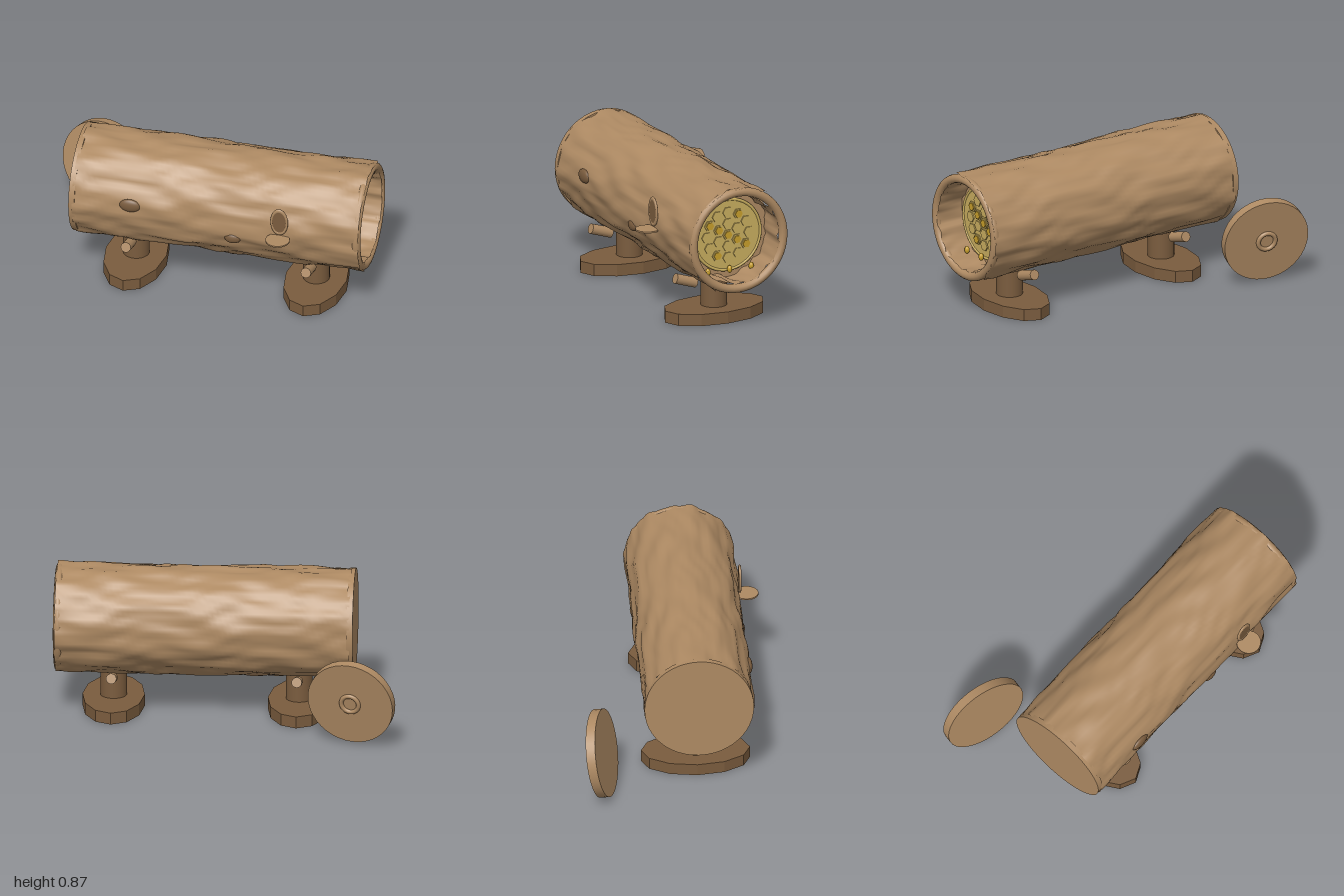
import * as THREE from 'three';
import { mergeVertices } from 'three/addons/utils/BufferGeometryUtils.js';

const mat = (name, color) => {
  const m = new THREE.MeshStandardMaterial({ color });
  m.name = name;
  return m;
};

export function createModel() {
  const wood = mat('wood', 0xae8a63);
  const darkWood = mat('dark wood', 0x7a5c3e);
  const wax = mat('wax', 0xc9ae5f);
  const honey = mat('honey', 0xc9a02c);

  const model = new THREE.Group();
  model.name = 'logHive';

  const add = (parent, name, geometry, material, x = 0, y = 0, z = 0) => {
    const mesh = new THREE.Mesh(geometry, material);
    mesh.name = name;
    mesh.position.set(x, y, z);
    parent.add(mesh);
    return mesh;
  };
  const flat = (geometry) => {
    const g = geometry.toNonIndexed();
    g.computeVertexNormals();
    return g;
  };
  // cylinder lying along x
  const discX = (r, h, sides) => new THREE.CylinderGeometry(r, r, h, sides).rotateZ(-Math.PI / 2);
  const ringX = (r, tube) => new THREE.TorusGeometry(r, tube, 12, 48).rotateY(Math.PI / 2);

  // gnarled tube along x: ridges run lengthwise and twist a little
  const barkTube = (radius, x0, x1, amount, inward) => {
    let g = new THREE.CylinderGeometry(1, 1, x1 - x0, 80, 56, true).rotateZ(-Math.PI / 2);
    g.translate((x0 + x1) / 2, 0, 0);
    g.deleteAttribute('uv');
    g.deleteAttribute('normal');
    g = mergeVertices(g, 1e-5);
    const p = g.attributes.position;
    for (let i = 0; i < p.count; i++) {
      const x = p.getX(i), a = Math.atan2(p.getZ(i), p.getY(i));
      const n = 0.4 * Math.sin(7 * a + 6 * x + Math.sin(9 * x))
        + 0.35 * Math.sin(13 * a - 9 * x + 1.3 * Math.sin(3 * a + 7 * x))
        + 0.25 * Math.sin(23 * a + 14 * x + 2 * Math.sin(2 * a - 11 * x));
      const r = radius + amount * n;
      p.setXYZ(i, x, r * Math.cos(a), r * Math.sin(a));
    }
    if (inward) {
      // mirroring turns the faces to look at the axis
      g.scale(1, 1, -1);
    }
    g.computeVertexNormals();
    return g;
  };

  // hollow log
  const log = new THREE.Group();
  log.name = 'log';
  log.position.set(0, 0.54, 0.127);
  model.add(log);
  add(log, 'bark', barkTube(0.315, -0.715, 0.985, 0.013, false), wood);
  add(log, 'innerWall', barkTube(0.258, 0.78, 0.985, 0.016, true), wood);
  add(log, 'openRim', ringX(0.29, 0.026), wood, 0.969);
  add(log, 'closedEnd', discX(0.316, 0.035, 48), wood, -0.7175);
  add(log, 'innerPlate', discX(0.285, 0.02, 48), wood, 0.8);

  // honeycomb: centre cell, ring of six, ring of twelve
  const comb = new THREE.Group();
  comb.name = 'honeycomb';
  comb.position.set(0.82, -0.004, 0);
  log.add(comb);
  add(comb, 'combDisc', discX(0.215, 0.03, 48), wax);
  add(comb, 'combRim', ringX(0.212, 0.009), wax, 0.012);
  const cellGeo = flat(discX(0.033, 0.012, 6));
  const honeyGeo = flat(discX(0.024, 0.012, 6));
  const filled = [[0, 0], [1, 150], [1, 330], [2, 60], [2, 150], [2, 240], [2, 330]];
  for (let ring = 0; ring < 3; ring++) {
    const count = [1, 6, 12][ring];
    for (let i = 0; i < count; i++) {
      const deg = ring === 0 ? 0 : ring === 1 ? 30 + 60 * i : 30 * i;
      const a = THREE.MathUtils.degToRad(deg);
      const y = 0.068 * ring * Math.sin(a), z = -0.068 * ring * Math.cos(a);
      add(comb, 'cell', cellGeo, wax, 0.016, y, z);
      if (filled.some(([r, d]) => r === ring && d === deg)) {
        add(comb, 'honeyCell', honeyGeo, honey, 0.022, y, z);
      }
    }
  }

  // honey drops below the comb
  for (const z of [-0.14, 0, 0.14]) {
    add(log, 'honeyDrop', new THREE.SphereGeometry(0.015, 16, 12), honey, 0.86, -0.205, z).scale.y = 1.5;
  }

  // knots on the front of the bark
  for (const [x, y, z, rx, ry] of [[-0.37, 0.595, 0.438, 0.062, 0.041], [0.24, 0.47, 0.436, 0.048, 0.033]]) {
    add(model, 'knot', new THREE.SphereGeometry(1, 24, 16), darkWood, x, y, z).scale.set(rx, ry, 0.021);
  }

  // oval entrance and its landing board
  const entrance = new THREE.Group();
  entrance.name = 'entrance';
  entrance.position.set(0.52, 0.633, 0.447);
  entrance.scale.y = 1.68;
  model.add(entrance);
  add(entrance, 'entranceRing', new THREE.TorusGeometry(0.045, 0.008, 10, 36), wood);
  add(entrance, 'entranceHole', new THREE.CylinderGeometry(0.044, 0.044, 0.012, 36).rotateX(Math.PI / 2), darkWood);
  add(model, 'landingBoard', new THREE.CylinderGeometry(0.07, 0.07, 0.009, 36), wood, 0.52, 0.532, 0.485);

  // two stands: faceted foot, post and a pair of sloping pegs
  for (const x of [-0.41, 0.66]) {
    const stand = new THREE.Group();
    stand.name = 'stand';
    stand.position.set(x, 0, 0.127);
    model.add(stand);
    const foot = new THREE.CylinderGeometry(1, 1, 0.07, 12).scale(0.18, 1, 0.315);
    add(stand, 'foot', flat(foot), darkWood, 0, 0.035, 0);
    add(stand, 'post', new THREE.CylinderGeometry(0.077, 0.077, 0.2, 32), darkWood, 0, 0.165, 0);
    for (const side of [-1, 1]) {
      const peg = add(stand, 'peg', new THREE.CylinderGeometry(0.03, 0.03, 0.138, 20), wood, 0, 0.236, side * 0.184);
      peg.rotation.x = side * THREE.MathUtils.degToRad(72);
    }
  }

  // loose lid leaning behind the closed end, with a ring handle on its back
  const lid = new THREE.Group();
  lid.name = 'lid';
  lid.position.set(-0.745, 0.269, -0.436);
  lid.quaternion.setFromUnitVectors(
    new THREE.Vector3(0, 0, 1), new THREE.Vector3(-0.25, 0.19, 0.95).normalize());
  model.add(lid);
  add(lid, 'lidDisc', new THREE.CylinderGeometry(0.256, 0.256, 0.055, 40).rotateX(Math.PI / 2), wood);
  add(lid, 'lidHandle', new THREE.TorusGeometry(0.052, 0.013, 10, 36), wood, 0, 0, -0.032);

  return model;
}
